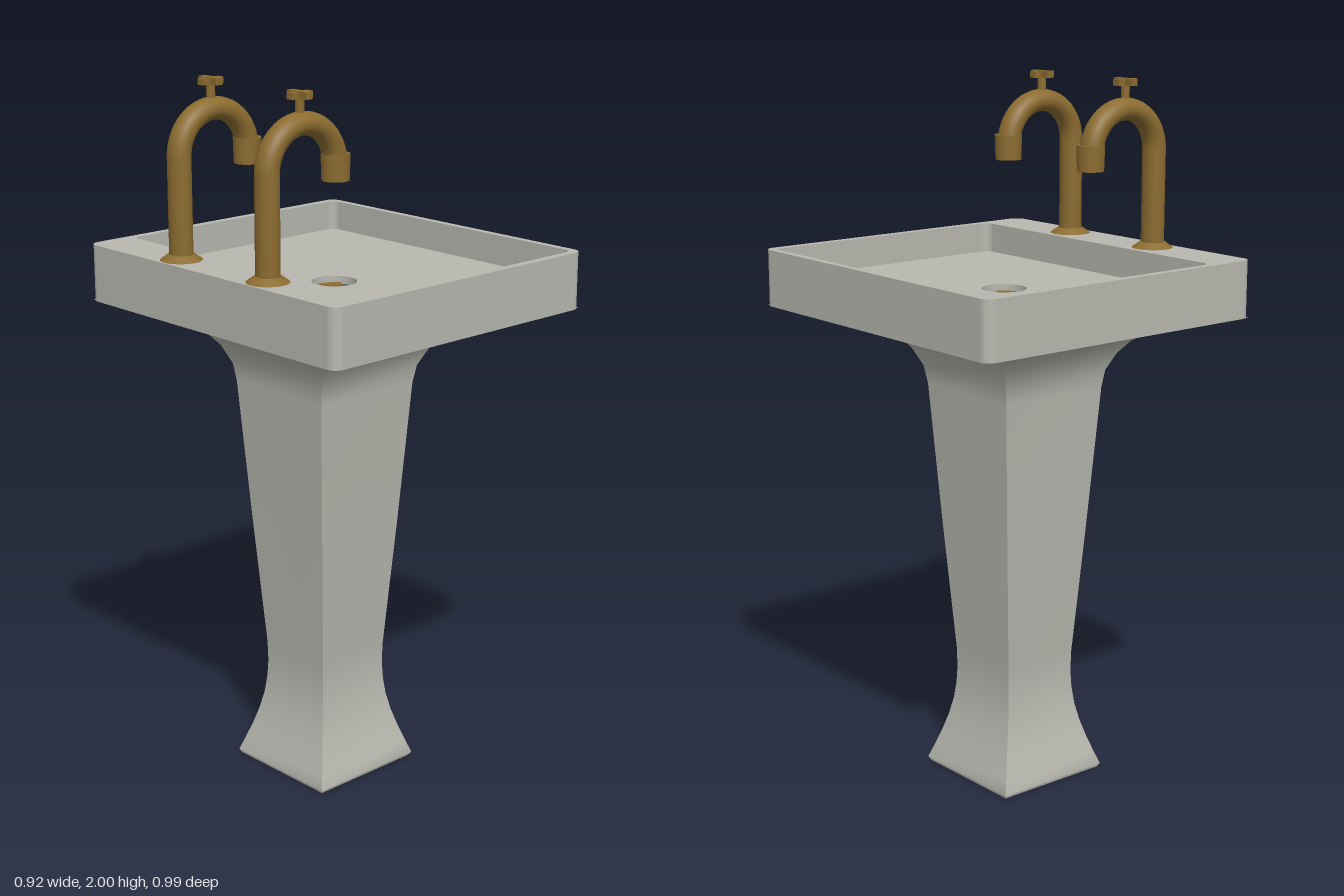
import * as THREE from 'three';

const ceramic = new THREE.MeshStandardMaterial({ color: 0xb8b8b0, side: THREE.DoubleSide });
ceramic.name = 'ceramic';
const brass = new THREE.MeshStandardMaterial({ color: 0x8c6c30 });
brass.name = 'brass';
const darkGrey = new THREE.MeshStandardMaterial({ color: 0x5a5a5a });
darkGrey.name = 'dark grey';

function add(parent, name, geometry, material, x = 0, y = 0, z = 0) {
  const mesh = new THREE.Mesh(geometry, material);
  mesh.name = name;
  mesh.position.set(x, y, z);
  parent.add(mesh);
  return mesh;
}

// Rounded rectangle outline, used for the basin and its pit
function roundedRect(Type, x0, x1, y0, y1, r) {
  const s = new Type();
  s.moveTo(x0 + r, y0);
  s.lineTo(x1 - r, y0);
  s.absarc(x1 - r, y0 + r, r, -Math.PI / 2, 0);
  s.lineTo(x1, y1 - r);
  s.absarc(x1 - r, y1 - r, r, 0, Math.PI / 2);
  s.lineTo(x0 + r, y1);
  s.absarc(x0 + r, y1 - r, r, Math.PI / 2, Math.PI);
  s.lineTo(x0, y0 + r);
  s.absarc(x0 + r, y0 + r, r, Math.PI, Math.PI * 1.5);
  return s;
}

// Rectangular loft: each row is [y, xMin, xMax, zHalf]; corners stay sharp
function rectLoft(rows) {
  const positions = [], index = [];
  for (let side = 0; side < 4; side++) {
    const start = positions.length / 3;
    rows.forEach(([y, x0, x1, z], i) => {
      const c = [[x0, z], [x1, z], [x1, -z], [x0, -z]];
      const a = c[side], b = c[(side + 1) % 4];
      positions.push(a[0], y, a[1], b[0], y, b[1]);
      if (i > 0) {
        const k = start + (i - 1) * 2;
        index.push(k, k + 1, k + 3, k, k + 3, k + 2);
      }
    });
  }
  const g = new THREE.BufferGeometry();
  g.setAttribute('position', new THREE.Float32BufferAttribute(positions, 3));
  g.setIndex(index);
  g.computeVertexNormals();
  return g;
}

function buildBasin(root) {
  const basin = new THREE.Group();
  basin.name = 'basin';
  root.add(basin);

  // Outer block with the pit cut through it
  const outline = roundedRect(THREE.Shape, -0.463, 0.461, -0.497, 0.497, 0.03);
  outline.holes.push(roundedRect(THREE.Path, -0.325, 0.44, -0.474, 0.474, 0.025));
  const block = new THREE.ExtrudeGeometry(outline, { depth: 0.16, bevelEnabled: false, curveSegments: 8 });
  add(basin, 'basinWalls', block.rotateX(-Math.PI / 2), ceramic, 0, 1.365, 0);

  // Floor falls slightly towards the drain
  const floorShape = roundedRect(THREE.Shape, -0.325, 0.44, -0.474, 0.474, 0.025);
  floorShape.holes.push(new THREE.Path().absarc(0, 0, 0.063, 0, Math.PI * 2, true));
  const floor = new THREE.ShapeGeometry(floorShape, 16).rotateX(-Math.PI / 2);
  const p = floor.attributes.position;
  for (let i = 0; i < p.count; i++) {
    p.setY(i, Math.hypot(p.getX(i), p.getZ(i)) < 0.1 ? 1.43 : 1.44);
  }
  floor.computeVertexNormals();
  add(basin, 'basinFloor', floor, ceramic);

  // Drain well
  add(basin, 'drainWall', new THREE.CylinderGeometry(0.063, 0.063, 0.03, 32, 1, true), ceramic, 0, 1.415, 0);
  add(basin, 'drainBottom', new THREE.CircleGeometry(0.063, 32).rotateX(-Math.PI / 2), ceramic, 0, 1.4, 0);

  // Perforated brass grate and the dark gap beside it
  const grate = new THREE.Shape();
  grate.absarc(0, 0, 0.062, 0.47, 4.39, false);
  grate.closePath();
  const h = 0.0045;
  for (const y of [0.03, 0.004, -0.025]) {
    for (const x of [-0.025, 0, 0.025]) {
      if (x > 0 && y < 0) continue;
      grate.holes.push(new THREE.Path([
        new THREE.Vector2(x - h, y - h), new THREE.Vector2(x - h, y + h),
        new THREE.Vector2(x + h, y + h), new THREE.Vector2(x + h, y - h),
      ]));
    }
  }
  const plate = { depth: 0.004, bevelEnabled: false, curveSegments: 24 };
  add(basin, 'drainGrate', new THREE.ExtrudeGeometry(grate, plate).rotateX(-Math.PI / 2), brass, 0, 1.408, 0);
  const gap = new THREE.Shape();
  gap.absarc(0, 0, 0.062, 4.39 - Math.PI * 2, 0.47, false);
  gap.closePath();
  add(basin, 'drainGap', new THREE.ShapeGeometry(gap, 16).rotateX(-Math.PI / 2), darkGrey, 0, 1.408, 0);
}

function buildPedestal(root) {
  // Flared foot, tapering column and wide support under the basin
  const rows = [
    [0, -0.211, 0.137, 0.174], [0.012, -0.217, 0.143, 0.18],
    [0.05, -0.203, 0.129, 0.167], [0.1, -0.187, 0.113, 0.15],
    [0.15, -0.173, 0.099, 0.136], [0.2, -0.162, 0.088, 0.126],
    [0.25, -0.156, 0.082, 0.12], [0.3, -0.154, 0.08, 0.117],
    [0.36, -0.155, 0.081, 0.119], [0.75, -0.183, 0.109, 0.147],
    [1.15, -0.21, 0.135, 0.174], [1.2, -0.217, 0.144, 0.182],
    [1.25, -0.238, 0.166, 0.207], [1.285, -0.265, 0.193, 0.235],
    [1.31, -0.298, 0.225, 0.27], [1.33, -0.343, 0.272, 0.317],
    [1.345, -0.392, 0.335, 0.372], [1.355, -0.423, 0.394, 0.427],
    [1.366, -0.458, 0.456, 0.492],
  ];
  add(root, 'pedestal', rectLoft(rows), ceramic);
  add(root, 'pedestalBottom', new THREE.PlaneGeometry(0.348, 0.348).rotateX(Math.PI / 2), ceramic, -0.037, 0, 0);
}

function buildFaucet(root, z) {
  const faucet = new THREE.Group();
  faucet.name = 'faucet';
  faucet.position.set(-0.4, 1.525, z);
  root.add(faucet);

  // Base flange
  add(faucet, 'flange', new THREE.CylinderGeometry(0.036, 0.058, 0.016, 32), brass, 0, 0.008, 0);

  // Upright pipe bending over into the spout
  const path = new THREE.CurvePath();
  const v = (x, y) => new THREE.Vector3(x, y, 0);
  const R = 0.117, top = 0.275, k = 0.5523 * R;
  path.add(new THREE.LineCurve3(v(0, 0), v(0, top)));
  path.add(new THREE.CubicBezierCurve3(v(0, top), v(0, top + k), v(R - k, top + R), v(R, top + R)));
  path.add(new THREE.CubicBezierCurve3(v(R, top + R), v(R + k, top + R), v(2 * R, top + k), v(2 * R, top)));
  const pipe = new THREE.TubeGeometry(path, 64, 0.031, 24).scale(1, 1, 1.12);
  add(faucet, 'pipe', pipe, brass);

  // Spout collar
  add(faucet, 'spoutCollar', new THREE.CylinderGeometry(0.039, 0.037, 0.07, 24), brass, 2 * R + 0.002, 0.267, 0);

  // Cross handle on a short stem
  add(faucet, 'handleStem', new THREE.CylinderGeometry(0.012, 0.012, 0.06, 16), brass, R - 0.005, 0.435, 0);
  add(faucet, 'handleBar', new THREE.BoxGeometry(0.07, 0.017, 0.022), brass, R - 0.005, 0.4645, 0);
  add(faucet, 'handleCrossBar', new THREE.BoxGeometry(0.022, 0.019, 0.072), brass, R - 0.005, 0.4655, 0);
}

export function createModel() {
  const root = new THREE.Group();
  root.name = 'pedestalSink';
  buildBasin(root);
  buildPedestal(root);
  for (const z of [-0.17, 0.18]) buildFaucet(root, z);
  return root;
}
